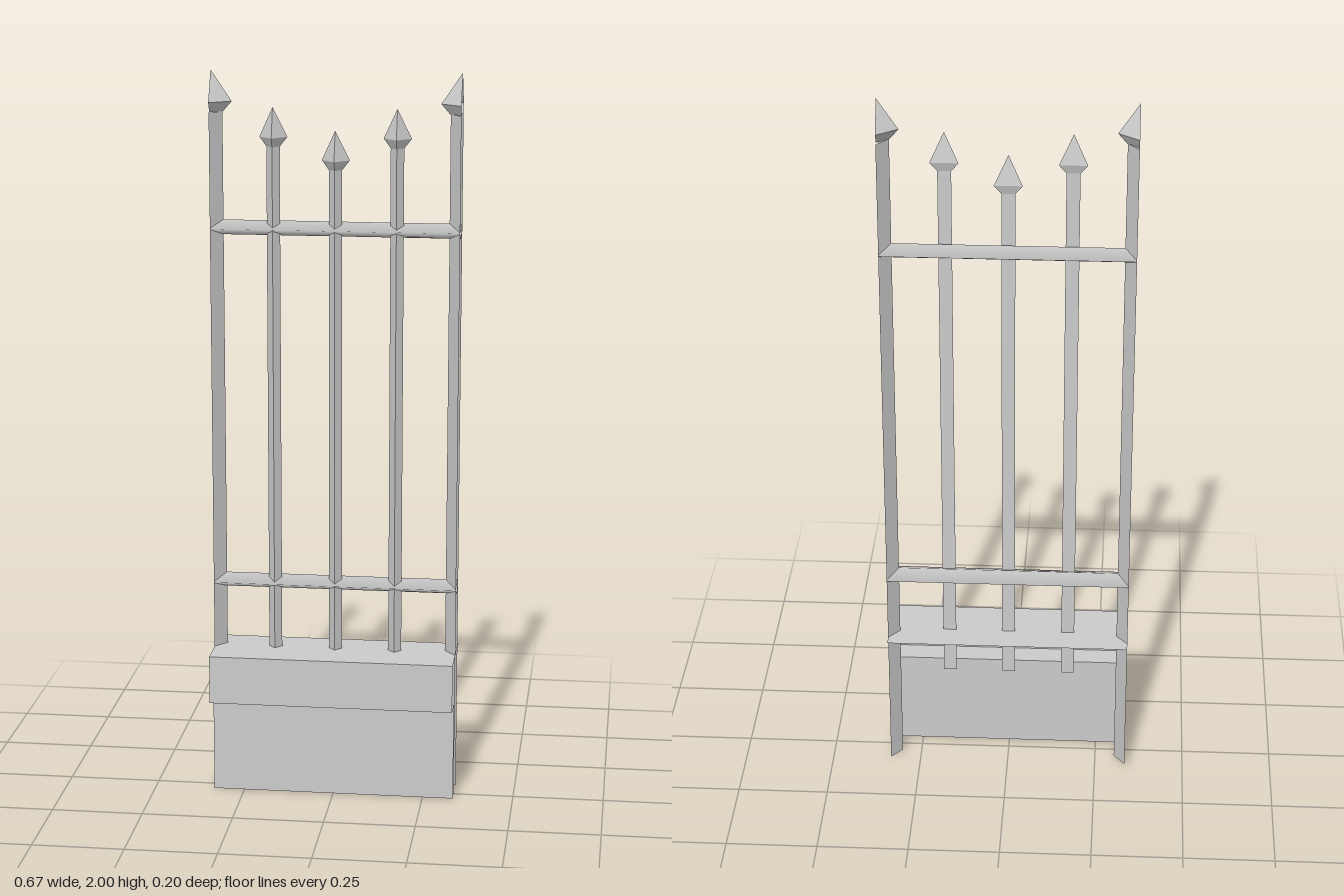
import * as THREE from 'three';

const HALF = 0.335;     // half length of the panel
const BASE_TOP = 0.408;
const POST_Z = -0.032;  // centre line of end posts and rails
const BAR_Z = -0.013;   // centre line of the inner bars

const faceted = new THREE.MeshStandardMaterial({ color: 0xcccccc, flatShading: true, side: THREE.DoubleSide });
const smooth = new THREE.MeshStandardMaterial({ color: 0xcccccc, side: THREE.DoubleSide });

function add(parent, name, geometry, material = faceted) {
  const mesh = new THREE.Mesh(geometry, material);
  mesh.name = name;
  parent.add(mesh);
  return mesh;
}

// Shaft with a spearhead: sections are unit polygons scaled in x and z
function spearBar(name, o) {
  const group = new THREE.Group();
  group.name = name;
  const section = (part, y0, y1, bottom, top) => {
    const g = new THREE.CylinderGeometry(top, bottom, y1 - y0, o.sides, 1, true, o.start, o.sweep);
    g.scale(o.rx, 1, o.rz);
    g.translate(0, (y0 + y1) / 2, 0);
    add(group, part, g);
  };
  section('shaft', o.bottom, o.neck, o.shaft, o.shaft);
  section('spearCollar', o.neck, o.wide, o.shaft, 1);
  section('spearTip', o.wide, o.tip, 1, 0);
  group.position.set(o.x, 0, o.z);
  return group;
}

export function createModel() {
  const model = new THREE.Group();

  // Stepped plinth: open at the back and underneath, closed at one end
  const plinth = new THREE.Group();
  plinth.name = 'plinth';
  const profile = [[0.036, 0], [0.036, 0.274], [0.1, 0.274], [0.1, BASE_TOP], [-0.1, BASE_TOP]];
  const names = ['lowerFront', 'stepUnderside', 'upperFront', 'plinthTop'];
  names.forEach((name, i) => {
    const [z0, y0] = profile[i], [z1, y1] = profile[i + 1];
    const g = new THREE.PlaneGeometry(2 * HALF, Math.hypot(z1 - z0, y1 - y0));
    g.rotateX(Math.atan2(z1 - z0, y1 - y0));
    g.translate(0, (y0 + y1) / 2, (z0 + z1) / 2);
    add(plinth, name, g);
  });
  const endShape = new THREE.Shape([...profile, [-0.1, 0]].map(([z, y]) => new THREE.Vector2(z, y)));
  const end = new THREE.ShapeGeometry(endShape);
  end.rotateY(-Math.PI / 2);
  end.translate(-HALF, 0, 0);
  add(plinth, 'plinthEnd', end);
  model.add(plinth);

  // Half-diamond end posts, open on the outer side
  for (const side of [-1, 1]) {
    model.add(spearBar(side > 0 ? 'leftPost' : 'rightPost', {
      x: side * HALF, z: POST_Z, rx: 0.056, rz: 0.044, shaft: 0.58,
      sides: 2, start: side < 0 ? 0 : Math.PI, sweep: Math.PI,
      bottom: 0, neck: 1.89, wide: 1.917, tip: 2,
    }).translateX(0));
  }
  // Widen the post shafts in depth
  model.children.slice(1).forEach((post) => post.getObjectByName('shaft').scale.set(0.95, 1, 1.5));

  // Three-sided inner bars, the middle one shortest
  [[-0.167, 1.905], [0, 1.845], [0.165, 1.905]].forEach(([x, tip], i) => {
    model.add(spearBar('bar' + (i + 1), {
      x, z: BAR_Z, rx: 0.0433, rz: 0.028, shaft: 0.48,
      sides: 3, start: 0, sweep: Math.PI * 2,
      bottom: 0.274, neck: tip - 0.105, wide: tip - 0.08, tip,
    }));
  });

  // Diamond-section rails with softened shading
  [['lowerRail', 0.594], ['upperRail', 1.58]].forEach(([name, y]) => {
    const g = new THREE.CylinderGeometry(1, 1, 2 * HALF, 4, 1, true);
    g.rotateZ(Math.PI / 2);
    g.scale(1, 0.02, 0.042);
    g.translate(0, y, POST_Z);
    add(model, name, g, smooth);
  });

  return model;
}
